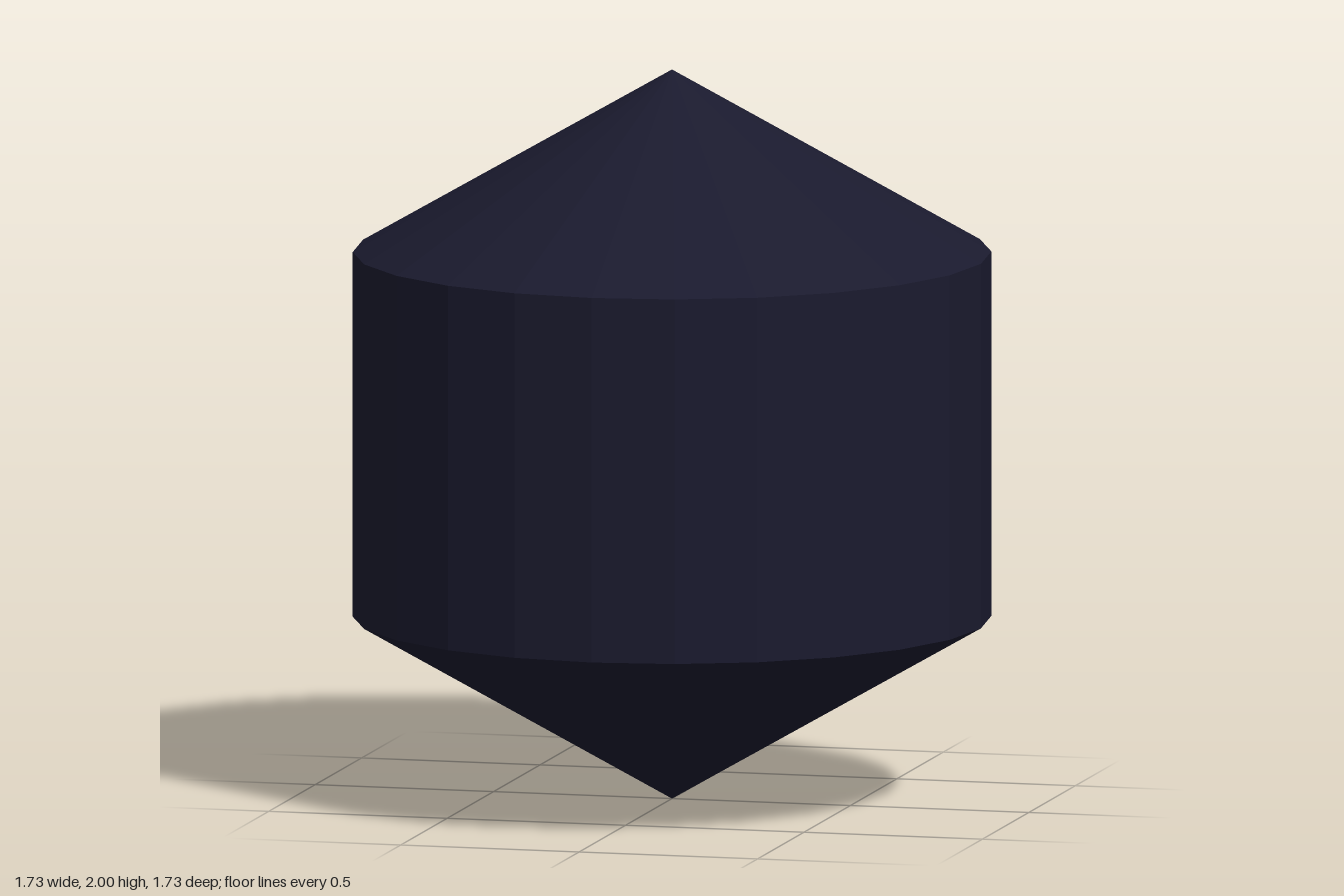
import * as THREE from 'three';

const RADIUS = Math.sqrt(3) / 2;
const SIDES = 24;

export function createModel() {
  const model = new THREE.Group();
  const material = new THREE.MeshStandardMaterial({ color: 0x1a1a2e, flatShading: true });

  const addPart = (name, geometry, y) => {
    const mesh = new THREE.Mesh(geometry, material);
    mesh.name = name;
    mesh.position.y = y;
    model.add(mesh);
    return mesh;
  };

  // Straight drum wall, closed by a cone at each end
  addPart('drumWall', new THREE.CylinderGeometry(RADIUS, RADIUS, 1, SIDES, 1, true), 1);
  addPart('topCone', new THREE.ConeGeometry(RADIUS, 0.5, SIDES, 1, true), 1.75);
  addPart('bottomCone', new THREE.ConeGeometry(RADIUS, 0.5, SIDES, 1, true), 0.25).rotation.x = Math.PI;

  return model;
}
